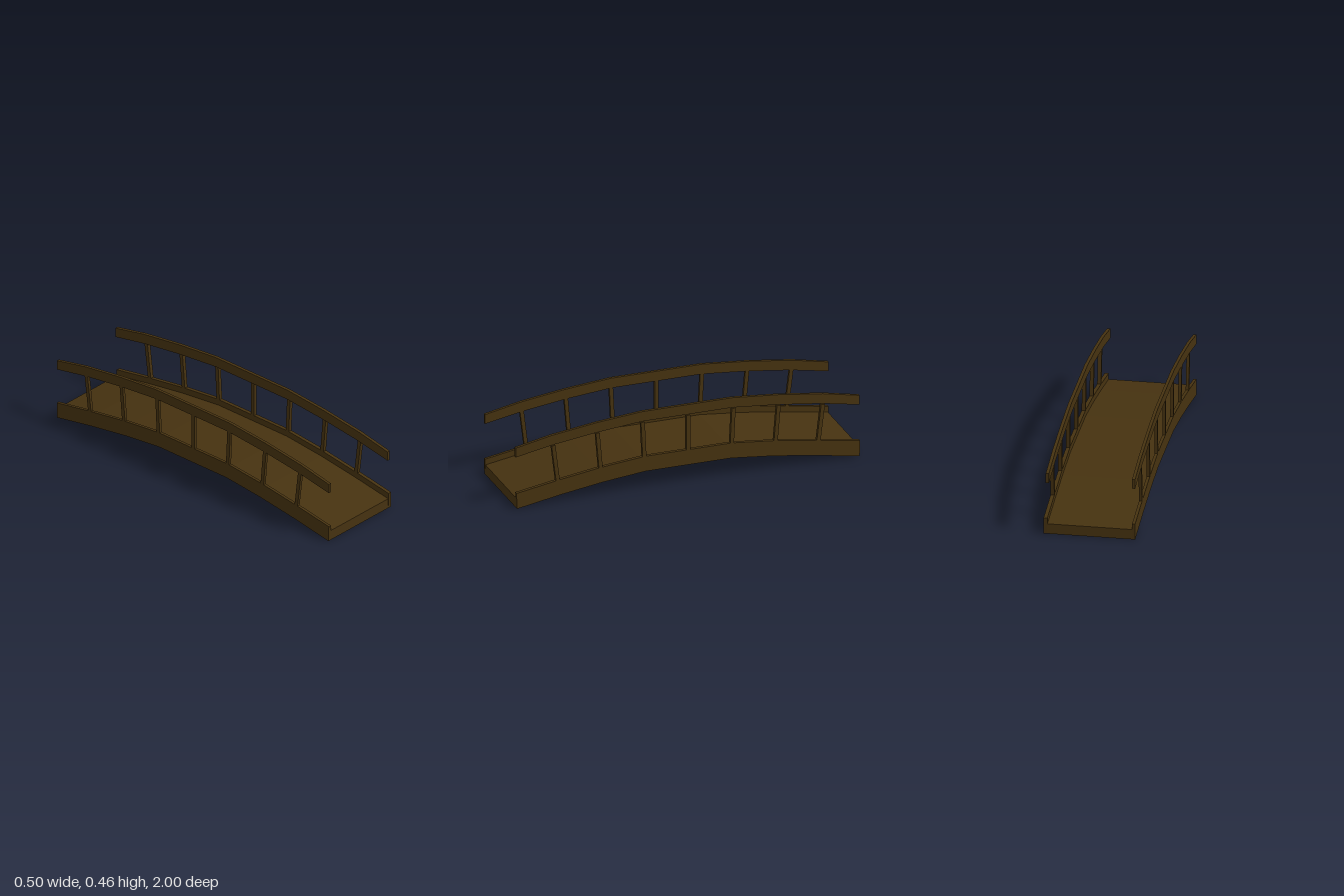
import * as THREE from 'three';

const wood = new THREE.MeshStandardMaterial({ color: 0x463210, flatShading: true });

// Half profiles as [z, y], from the bridge end towards its middle
const UNDERSIDE = [[0.995, 0], [0.74, 0.045], [0.495, 0.081], [0.247, 0.107]];
const DECK_TOP = [[0.995, 0.058], [0.75, 0.099], [0.503, 0.135], [0.25, 0.161]];
const CURB_TOP = [[0.998, 0.092], [0.757, 0.133], [0.508, 0.17], [0.254, 0.196]];
const RAIL_BOTTOM = [[0.998, 0.302], [0.78, 0.343], [0.523, 0.377], [0.261, 0.401]];
const RAIL_TOP = [[0.998, 0.357], [0.788, 0.4], [0.528, 0.435], [0.264, 0.459]];

// Mirrors a half profile into a full arch
const arch = half => [...half, ...half.map(([z, y]) => [-z, y]).reverse()];

// Arched band between two profiles, spanning x0 to x1
function archedBand(name, bottom, top, x0, x1) {
  const outline = [...arch(bottom), ...arch(top).reverse()];
  const shape = new THREE.Shape(outline.map(([z, y]) => new THREE.Vector2(z, y)));
  const geometry = new THREE.ExtrudeGeometry(shape, { depth: x1 - x0, bevelEnabled: false });
  geometry.rotateY(-Math.PI / 2).translate(x1, 0, 0);
  const mesh = new THREE.Mesh(geometry, wood);
  mesh.name = name;
  return mesh;
}

// Square post leaning from the curb top to the rail underside
function post(name, x0, x1, [zFoot, yFoot], [zHead, yHead]) {
  const foot = new THREE.Vector2(zFoot, yFoot - 0.005);
  const head = new THREE.Vector2(zHead, yHead);
  const mesh = new THREE.Mesh(
    new THREE.BoxGeometry(x1 - x0, head.distanceTo(foot), 0.022), wood);
  mesh.position.set((x0 + x1) / 2, (foot.y + head.y) / 2, (foot.x + head.x) / 2);
  mesh.rotation.x = Math.atan2(head.x - foot.x, head.y - foot.y);
  mesh.name = name;
  return mesh;
}

export function createModel() {
  const bridge = new THREE.Group();
  bridge.name = 'archedFootbridge';

  // Walkway
  bridge.add(archedBand('deck', UNDERSIDE, DECK_TOP, -0.236, 0.231));

  // Each side: curb, posts and handrail; the left handrail sits slightly inward
  const sides = [
    { name: 'right', curb: [-0.253, -0.236], rail: [-0.253, -0.236] },
    { name: 'left', curb: [0.231, 0.252], rail: [0.222, 0.24] },
  ];
  for (const { name, curb, rail } of sides) {
    const side = new THREE.Group();
    side.name = `${name}Side`;
    side.add(archedBand(`${name}Curb`, UNDERSIDE, CURB_TOP, ...curb));
    side.add(archedBand(`${name}Handrail`, RAIL_BOTTOM, RAIL_TOP, ...rail));
    side.add(post(`${name}MiddlePost`, ...curb, [0, 0.196], [0, 0.401]));
    for (let i = 1; i < 4; i++) {
      for (const s of [1, -1]) {
        const [zf, yf] = CURB_TOP[i];
        const [zh, yh] = RAIL_BOTTOM[i];
        side.add(post(`${name}${s > 0 ? 'Front' : 'Back'}Post${4 - i}`, ...curb,
          [s * zf, yf], [s * (zh + 0.003), yh]));
      }
    }
    bridge.add(side);
  }
  return bridge;
}
